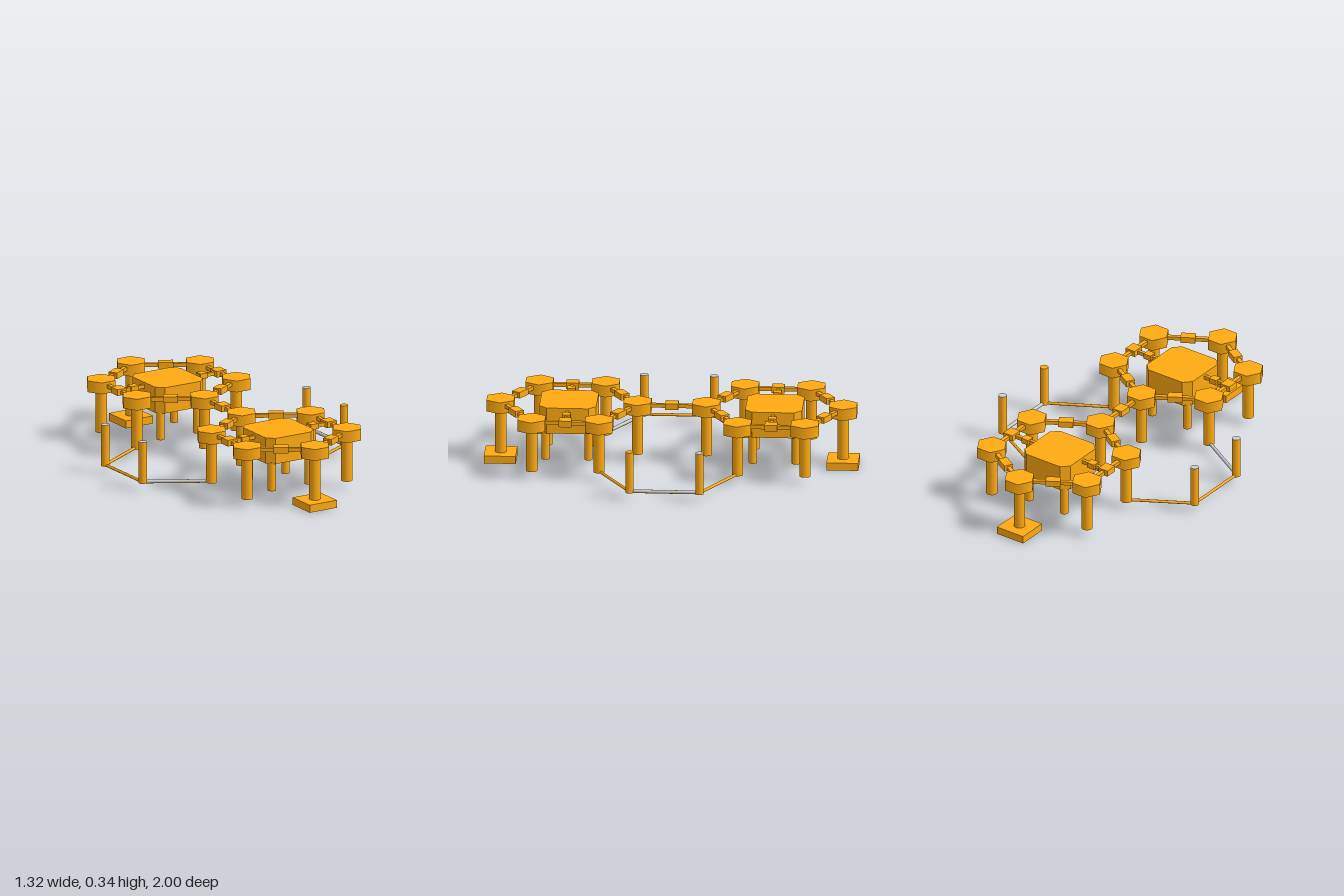
import * as THREE from 'three';

const orange = new THREE.MeshStandardMaterial({ color: 0xffaa11 });
const grey = new THREE.MeshStandardMaterial({ color: 0xcccccc });
const CX = -0.012, LEFT = 0.307, RIGHT = -0.32;

export function createModel() {
  const model = new THREE.Group();

  function add(name, geometry, x, y, z, material = orange) {
    const mesh = new THREE.Mesh(geometry, material);
    mesh.name = name;
    mesh.position.set(x, y, z);
    model.add(mesh);
    return mesh;
  }

  // Upright cylinder between two heights
  function post(name, x, z, r, y0, y1, material = orange) {
    return add(name, new THREE.CylinderGeometry(r, r, y1 - y0, 24), x, (y0 + y1) / 2, z, material);
  }

  // Horizontal bar between two [x, z] points, turned to follow them
  function bar(name, a, b, y, width, height) {
    const dx = b[0] - a[0], dz = b[1] - a[1];
    const mesh = add(name, new THREE.BoxGeometry(width, height, Math.hypot(dx, dz)),
      (a[0] + b[0]) / 2, y, (a[1] + b[1]) / 2);
    mesh.rotation.y = Math.atan2(dx, dz);
    return mesh;
  }

  // Bar with a block at its middle
  function link(a, b, blockWidth, blockLength) {
    const rod = bar('linkRod', a, b, 0.318, 0.022, 0.02);
    const block = add('linkBlock', new THREE.BoxGeometry(blockWidth, 0.034, blockLength),
      rod.position.x, 0.32, rod.position.z);
    block.rotation.y = rod.rotation.y;
  }

  // Thin round rod lying near the ground
  function groundRod(a, b, r, y, material) {
    const dx = b[0] - a[0], dz = b[1] - a[1];
    const geometry = new THREE.CylinderGeometry(r, r, Math.hypot(dx, dz), 12).rotateX(Math.PI / 2);
    const rod = add('groundRod', geometry, (a[0] + b[0]) / 2, y, (a[1] + b[1]) / 2, material);
    rod.rotation.y = Math.atan2(dx, dz);
  }

  const padGeometry = new THREE.CylinderGeometry(0.085, 0.085, 0.063, 6).rotateY(Math.PI / 6);

  // Square with cut corners for the hub
  const h = 0.152, c = 0.112;
  const outline = [[h, -c], [h, c], [c, h], [-c, h], [-h, c], [-h, -c], [-c, -h], [c, -h]];
  const hubShape = new THREE.Shape(outline.map(([x, y]) => new THREE.Vector2(x, y)));
  const hubGeometry = new THREE.ExtrudeGeometry(hubShape, { depth: 0.143, bevelEnabled: false })
    .rotateX(-Math.PI / 2);

  for (const s of [-1, 1]) {
    // Ring of six hexagonal pads on posts
    const pads = [[CX, 0.915], [LEFT, 0.73], [LEFT, 0.37], [CX, 0.184], [RIGHT, 0.372], [RIGHT, 0.726]]
      .map(([x, z]) => [x, z * s]);
    pads.forEach(([x, z], i) => {
      add('hexPad', padGeometry, x, 0.3105, z);
      post('padPost', x, z, 0.03, i === 0 ? 0.04 : 0.046, 0.285);
      const side = i === 1 || i === 4;
      link([x, z], pads[(i + 1) % 6], side ? 0.06 : 0.05, side ? 0.068 : 0.08);
    });

    // Square foot under the end pad
    add('foot', new THREE.BoxGeometry(0.172, 0.042, 0.17), CX, 0.021, 0.915 * s);

    // Central hub with four legs
    add('hub', hubGeometry, CX, 0.199, 0.55 * s);
    for (const dx of [-0.116, 0.116])
      for (const dz of [-0.115, 0.115])
        post('hubLeg', CX + dx, 0.554 * s + dz, 0.022, 0.046, 0.205);

    // Spokes from the hub to the ring sides
    for (const [x, blockX] of [[LEFT, 0.205], [RIGHT, -0.23]]) {
      bar('spoke', [CX, 0.55 * s], [x, 0.55 * s], 0.318, 0.018, 0.02);
      add('spokeBlock', new THREE.BoxGeometry(0.046, 0.03, 0.044), blockX, 0.32, 0.55 * s);
    }
  }

  // Bridge between the two rings
  link([CX, -0.184], [CX, 0.184], 0.06, 0.07);

  // Outer posts joined to the rings by ground rods
  for (const x of [-0.637, 0.634]) {
    const padX = x < 0 ? RIGHT : LEFT;
    const path = [[padX, -0.372], [x, -0.187], [x, 0.187], [padX, 0.372]];
    for (let i = 0; i < 3; i++) groundRod(path[i], path[i + 1], 0.008, 0.051, orange);
    // One rod on each side carries a grey upper sleeve
    if (x < 0) groundRod(path[2], path[3], 0.009, 0.054, grey);
    else groundRod(path[1], path[2], 0.009, 0.054, grey);
    for (const [px, pz] of [path[1], path[2]]) {
      post('outerPost', px, pz, 0.022, 0.046, 0.274);
      if (x < 0 || pz < 0) post('outerPostCap', px, pz, 0.022, 0.274, 0.276, grey);
    }
  }

  return model;
}
